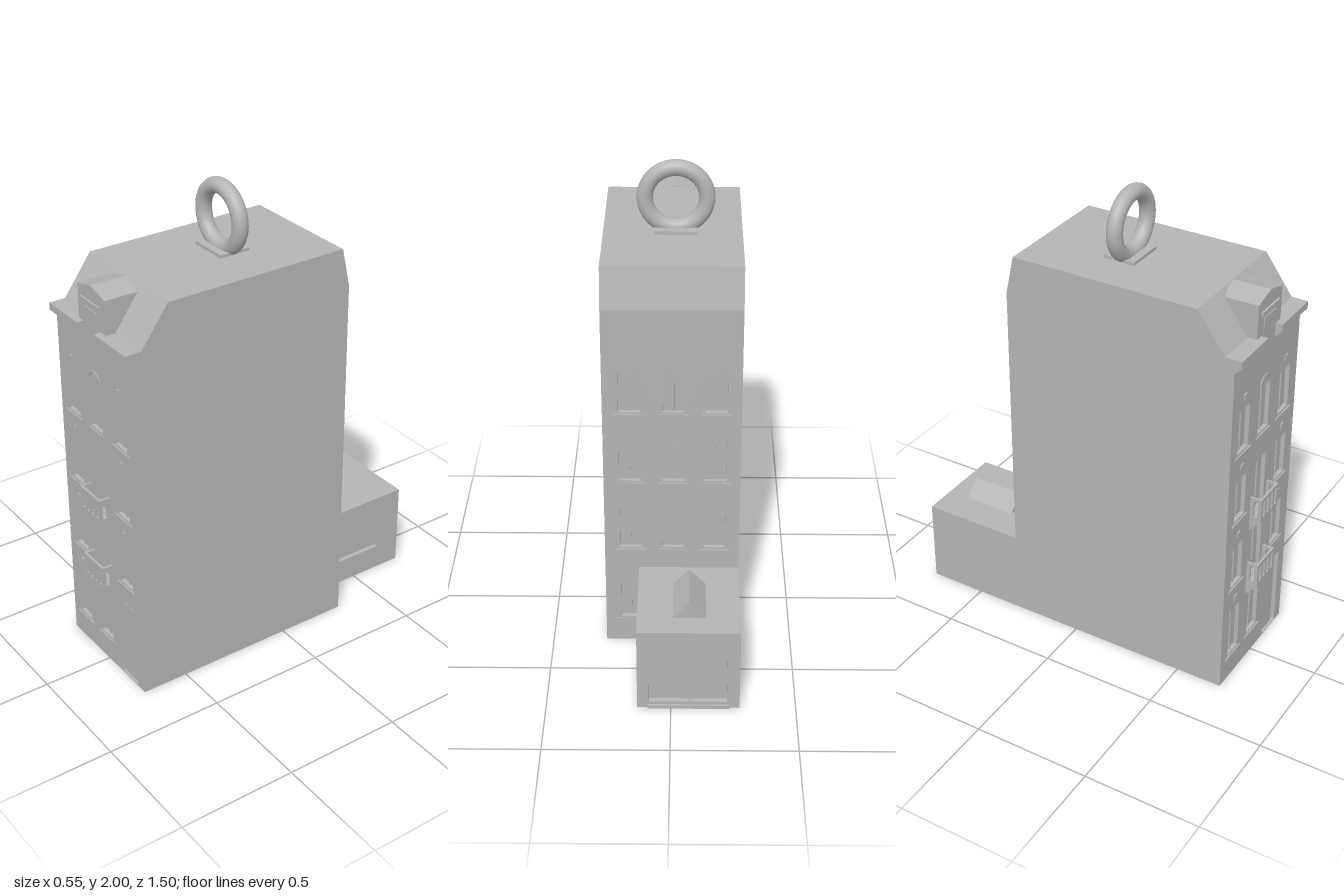
import * as THREE from 'three';

const stone = new THREE.MeshStandardMaterial({ color: 0xb4b4b4 });
stone.name = 'plain grey';

export function createModel() {
  const root = new THREE.Group();
  root.name = 'townhouse';

  const add = (name, geo, parent = root) => {
    const m = new THREE.Mesh(geo, stone);
    m.name = name;
    parent.add(m);
    return m;
  };
  // Box from its limits
  const box = (name, x0, x1, y0, y1, z0, z1, parent) =>
    add(name, new THREE.BoxGeometry(x1 - x0, y1 - y0, z1 - z0)
      .translate((x0 + x1) / 2, (y0 + y1) / 2, (z0 + z1) / 2), parent);
  const polygon = (pts) => new THREE.Shape(pts.map(([x, y]) => new THREE.Vector2(x, y)));
  const extrude = (shape, depth) =>
    new THREE.ExtrudeGeometry(shape, { depth, bevelEnabled: false, curveSegments: 6 });
  // Side profile of [z, y] points, swept from x0 to x1
  const profile = (name, pts, x0, x1, parent) =>
    add(name, extrude(polygon(pts.map(([z, y]) => [-z, y])), x1 - x0)
      .rotateY(Math.PI / 2).translate(x0, 0, 0), parent);
  const rect = (x0, x1, y0, y1) => [[x0, y0], [x1, y0], [x1, y1], [x0, y1]];
  // Opening with a slightly raised head
  const opening = (cx, w, y0, y1) => {
    const h = w / 2;
    return [[cx - h, y0], [cx + h, y0], [cx + h, y1 - 0.006], [cx + h - 0.012, y1],
      [cx - h + 0.012, y1], [cx - h, y1 - 0.006]];
  };
  // Wall plate with holes, its outer face on z = 0
  const plate = (name, outline, holes, depth, parent) => {
    const s = polygon(outline);
    for (const h of holes) s.holes.push(new THREE.Path(h.map(([x, y]) => new THREE.Vector2(x, y))));
    return add(name, extrude(s, depth).translate(0, 0, -depth), parent);
  };

  const W = 0.275, T = 0.03, IN = W - T, EAVE = 1.55, ROOF = 1.715, REC = 0.018;
  const columns = [-0.175, -0.006, 0.168];
  const rows = [[0.12, 0.345], [0.47, 0.66], [0.79, 0.98], [1.105, 1.295]];

  // Side walls
  const side = [[0.70, 0], [0.70, EAVE], [0.66, EAVE], [0.54, ROOF], [-0.265, ROOF], [-0.30, EAVE], [-0.30, 0]];
  profile('leftWall', side, IN, W);
  profile('rightWall', side, -W, -IN);

  // Roof shell with steep front and back slopes
  profile('roof', [[0.70, EAVE], [0.66, EAVE], [0.54, ROOF], [-0.265, ROOF], [-0.30, EAVE],
    [-0.27, EAVE], [-0.24, 1.685], [0.53, 1.685], [0.64, 1.53], [0.67, EAVE - 0.002]], -IN, IN);

  // Front and back walls: pierced outer plate, closed behind
  const makeWall = (name, isFront) => {
    const g = new THREE.Group();
    g.name = name;
    root.add(g);
    const holes = [];
    columns.forEach((c, i) => rows.forEach(([y0, y1], r) => {
      const x = isFront ? c : -c;
      const middle = i === 1;
      if (isFront && i === 2 && r === 0) return;      // doorway here
      if (!isFront && i !== 2 && r === 0) return;     // covered by annex
      const balcony = isFront && middle && (r === 1 || r === 2);
      const top = isFront && middle && r === 3 ? 1.31 : y1;
      holes.push(opening(x, 0.088, balcony ? y0 - 0.055 : y0, top));
      if (!balcony && !(isFront && middle && r === 3))
        box('sill', x - 0.062, x + 0.062, y0 - 0.018, y0 - 0.008, -0.005, 0.006, g);
      if (isFront && !middle)
        box('keystone', x - 0.011, x + 0.011, y1 + 0.041, y1 + 0.063, -0.005, 0.006, g);
      box('centreBar', x - 0.003, x + 0.003, y0, top - 0.01, -REC, -REC + 0.006, g);
    }));
    if (isFront) {
      holes.push(rect(0.105, 0.225, 0.005, 0.37));
      box('door', 0.12, 0.21, 0.005, 0.35, -REC, -REC + 0.007, g);
      box('sill', -0.06, 0.05, 1.088, 1.097, -0.005, 0.006, g);
      add('archMoulding', new THREE.TorusGeometry(0.042, 0.005, 4, 16, Math.PI)
        .translate(-0.006, 1.312, 0), g);
    }
    plate('facade', rect(-IN, IN, 0, EAVE), holes, REC, g);
    box('windowPanes', -IN, IN, 0.005, EAVE - 0.01, -T, -REC, g);
    return g;
  };
  makeWall('frontWall', true).position.z = 0.70;
  const back = makeWall('backWall', false);
  back.rotation.y = Math.PI;
  back.position.z = -0.30;

  // Cornice, interrupted below the dormer
  const cornice = [[0.69, 1.49], [0.70, 1.49], [0.73, 1.52], [0.73, EAVE], [0.69, EAVE]];
  profile('cornice', cornice, -W, -0.065);
  profile('cornice', cornice, 0.055, W);

  // Gabled dormer
  add('dormer', extrude(polygon([[-0.1, EAVE], [0.095, EAVE], [0.095, 1.692], [-0.0025, 1.718], [-0.1, 1.692]]), 0.145)
    .translate(0, 0, 0.545));
  box('dormerLintel', -0.073, 0.066, 1.637, 1.653, 0.69, 0.708);
  plate('dormerWindow', rect(-0.05, 0.04, 1.565, 1.62), [], 0.004).position.z = 0.704;
  plate('dormerFront', [[-0.1, EAVE], [0.095, EAVE], [0.095, 1.692], [-0.0025, 1.718], [-0.1, 1.692]],
    [rect(-0.05, 0.04, 1.565, 1.62)], 0.012).position.z = 0.70;

  // Balconies
  for (const y of [0.35, 0.67]) {
    const g = new THREE.Group();
    g.name = 'balcony';
    g.position.y = y;
    root.add(g);
    const x0 = -0.08, x1 = 0.067;
    profile('balconyBase', [[0.69, 0], [0.70, 0], [0.75, 0.05], [0.75, 0.062], [0.69, 0.062]], x0, x1, g);
    const slots = [-0.055, -0.022, 0.012, 0.045].map((x) => rect(x - 0.0095, x + 0.0095, 0.072, 0.146));
    plate('frontRailing', rect(x0, x1, 0.062, 0.16), slots, 0.01, g).position.z = 0.75;
    for (const x of [x0 + 0.01, x1]) {
      const rail = plate('sideRailing', rect(-0.74, -0.70, 0.062, 0.16), [rect(-0.735, -0.716, 0.072, 0.146)], 0.01, g);
      rail.rotation.y = Math.PI / 2;
      rail.position.x = x;
    }
  }

  // Rear annex with recessed side and back openings
  const annex = new THREE.Group();
  annex.name = 'annex';
  root.add(annex);
  box('annexCore', -W, 0.115, 0, 0.37, -0.725, -0.295, annex);
  const annexSide = plate('annexSide', rect(0.30, 0.745, 0, 0.37), [rect(0.304, 0.63, 0.11, 0.34)], 0.02, annex);
  annexSide.rotation.y = Math.PI / 2;
  annexSide.position.x = 0.135;
  const annexBack = plate('annexBack', rect(-0.115, W, 0, 0.37), [rect(-0.088, 0.225, 0.03, 0.30)], 0.02, annex);
  annexBack.rotation.y = Math.PI;
  annexBack.position.z = -0.745;
  box('doorPost', -0.075, -0.068, 0.03, 0.30, -0.734, -0.724, annex);
  box('threshold', -0.235, 0.093, 0, 0.016, -0.753, -0.74, annex);
  add('skylight', extrude(polygon([[-0.14, 0.368], [-0.005, 0.368], [-0.072, 0.44]]), 0.23)
    .translate(0, 0, -0.645), annex);

  // Hanging ring and its base
  box('ringBase', -0.097, 0.073, 1.71, 1.728, 0.035, 0.17);
  add('ring', new THREE.TorusGeometry(0.1225, 0.0325, 20, 56)).position.set(-0.012, 1.845, 0.105);

  return root;
}
